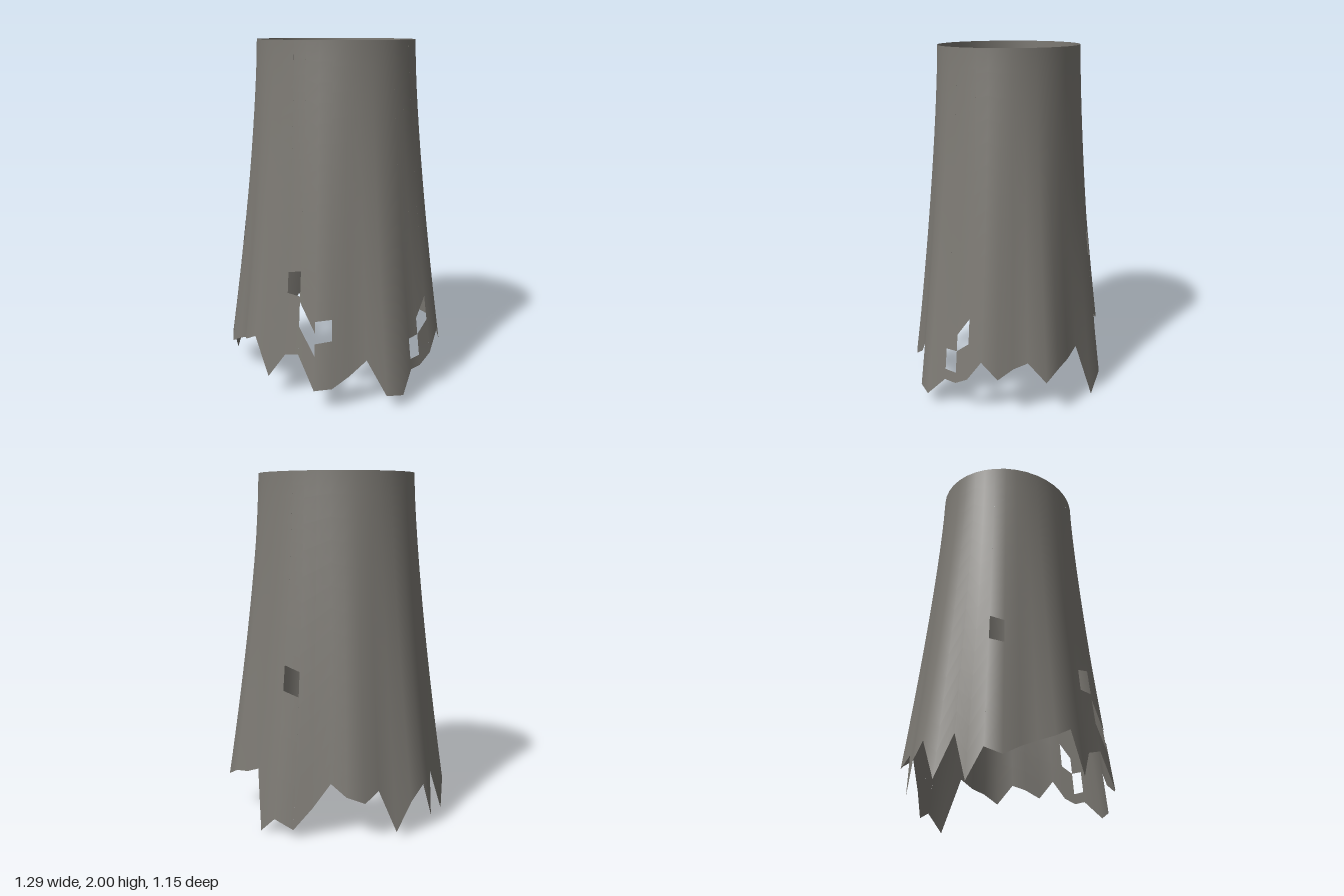
import * as THREE from 'three';

// Torn hem, one [x, z, y] per fold, going round from the front centre towards +x
const HEM = [
  [0, .54, .30], [.11, .575, .115], [.205, .54, .13], [.28, .475, .19], [.365, .425, .28],
  [.48, .41, .08], [.555, .345, .07], [.565, .235, .18], [.595, .165, .18], [.63, .085, .23],
  [.645, 0, .35], [.635, -.09, .25], [.585, -.165, .30], [.555, -.24, .33], [.55, -.345, .22],
  [.465, -.395, .27], [.37, -.43, .29], [.28, -.46, .33], [.215, -.55, 0], [.11, -.58, .1],
  [0, -.565, .05], [-.1, -.525, .18], [-.2, -.5, .33], [-.295, -.505, .27], [-.385, -.455, .23],
  [-.43, -.37, .28], [-.52, -.32, .035], [-.58, -.25, .2], [-.62, -.17, .28], [-.645, -.09, .07],
  [-.605, 0, .3], [-.65, .09, .04], [-.63, .175, .2], [-.585, .255, .165], [-.5, .31, .22],
  [-.43, .37, .26], [-.38, .445, .29], [-.295, .49, .34], [-.2, .52, .12], [-.095, .51, .27],
];
// Holes by fold: [bottom left, bottom right, top left, top right] heights
const HOLES = {
  0: [.46, .31, .6, .44],
  1: [.38, .4, .505, .52],
  7: [.24, .24, .36, .365],
  8: [.365, .43, .46, .57],
  19: [.82, .79, .96, .93],
  32: [.81, .79, .95, .925],
  39: [.63, .63, .75, .77],
};
const N = HEM.length, TOP = 2, ROWS = 14;

// Point on the cloth: an even oval at the top flaring into the folds of the hem
function clothPoint(col, y) {
  const [hx, hz, hy] = HEM[(col + N) % N];
  const a = (col / N) * Math.PI * 2;
  const f = Math.pow(Math.max(0, (TOP - y) / (TOP - hy)), 1.35);
  const x = .455 * Math.sin(a), z = .397 * Math.cos(a);
  return new THREE.Vector3(x + (hx - x) * f, y, z + (hz - z) * f);
}

function clothNormal(col, y) {
  const across = clothPoint(col + 1, y).sub(clothPoint(col - 1, y));
  const up = clothPoint(col, Math.min(TOP, y + .03)).sub(clothPoint(col, y - .03));
  return across.cross(up).normalize();
}

function buildCloth() {
  const pos = [], nor = [], index = [];
  // One strip between neighbouring folds, from bottom heights to top heights
  const strip = (col, bl, br, tl, tr, rows) => {
    const base = pos.length / 3;
    for (let r = 0; r <= rows; r++) {
      const t = r / rows;
      [[col, bl + (tl - bl) * t], [col + 1, br + (tr - br) * t]].forEach(([c, y]) => {
        pos.push(...clothPoint(c, y).toArray());
        nor.push(...clothNormal(c, y).toArray());
      });
      if (r < rows) {
        const k = base + r * 2;
        index.push(k, k + 1, k + 3, k, k + 3, k + 2);
      }
    }
  };
  for (let c = 0; c < N; c++) {
    const l = HEM[c][2], r = HEM[(c + 1) % N][2], hole = HOLES[c];
    if (hole) {
      strip(c, l, r, hole[0], hole[1], 3);
      strip(c, hole[2], hole[3], TOP, TOP, ROWS);
    } else {
      strip(c, l, r, TOP, TOP, ROWS);
    }
  }
  const geometry = new THREE.BufferGeometry();
  geometry.setAttribute('position', new THREE.Float32BufferAttribute(pos, 3));
  geometry.setAttribute('normal', new THREE.Float32BufferAttribute(nor, 3));
  geometry.setIndex(index);
  return geometry;
}

export function createModel() {
  const group = new THREE.Group();
  group.name = 'tatteredSkirt';
  const material = new THREE.MeshStandardMaterial({ color: 0x7d7a74, side: THREE.DoubleSide });
  material.name = 'grey cloth';
  const cloth = new THREE.Mesh(buildCloth(), material);
  cloth.name = 'tornCloth';
  group.add(cloth);
  return group;
}
